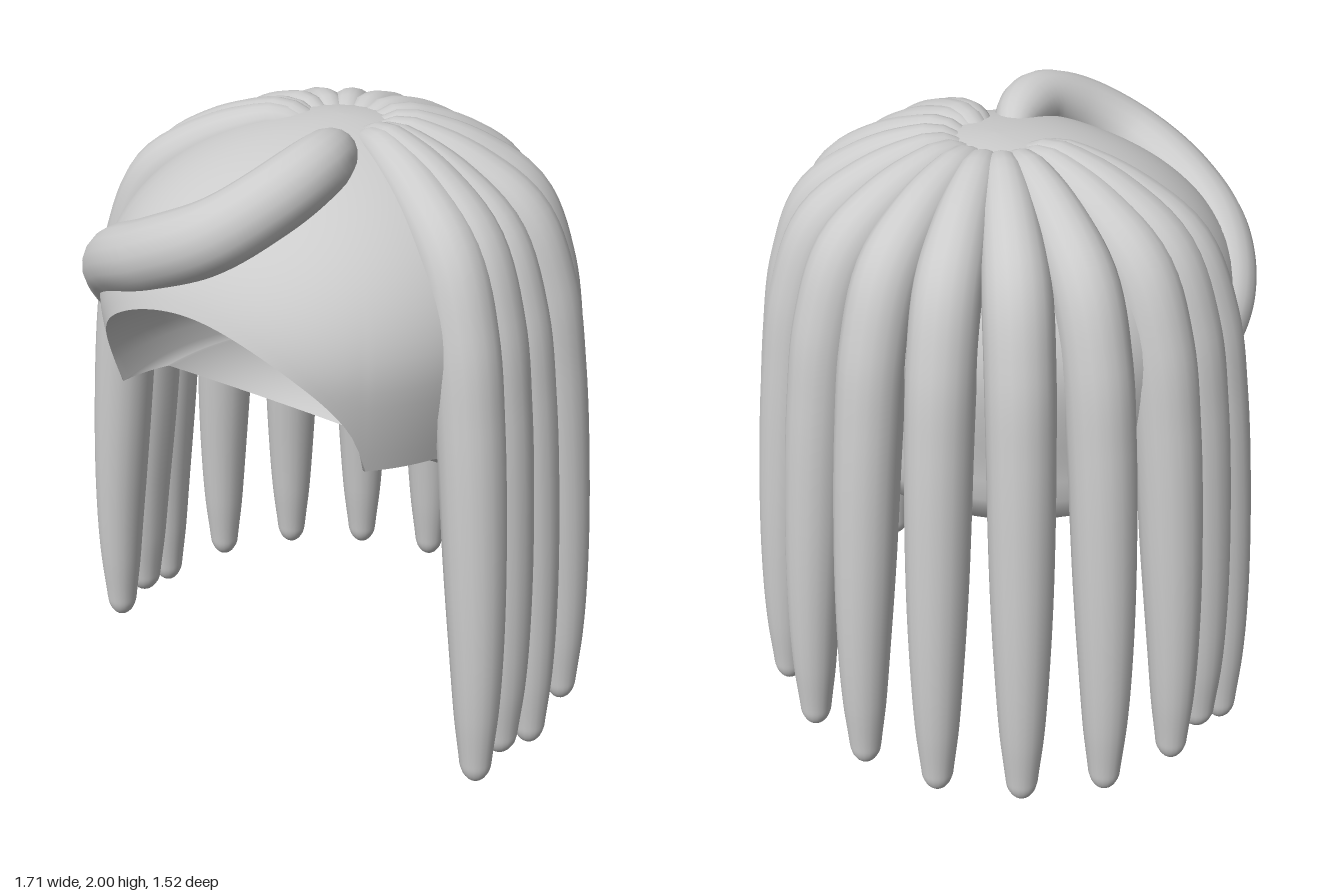
import * as THREE from 'three';

const material = new THREE.MeshStandardMaterial({ color: 0xcccccc, side: THREE.DoubleSide });
const { lerp, clamp, smoothstep } = THREE.MathUtils;
const V = (x, y, z) => new THREE.Vector3(x, y, z);

// Smooth surface from closed loops: point(u, v), with u running around each loop.
function loopSurface(name, nu, nv, point) {
  const pos = [], index = [];
  for (let j = 0; j <= nv; j++) {
    for (let i = 0; i < nu; i++) pos.push(...point(i / nu, j / nv).toArray());
  }
  for (let j = 0; j < nv; j++) {
    for (let i = 0; i < nu; i++) {
      const k = (i + 1) % nu, a = j * nu + i, b = j * nu + k, c = a + nu, d = b + nu;
      index.push(a, c, b, b, c, d);
    }
  }
  const geo = new THREE.BufferGeometry();
  geo.setAttribute('position', new THREE.Float32BufferAttribute(pos, 3));
  geo.setIndex(index);
  geo.computeVertexNormals();
  const mesh = new THREE.Mesh(geo, material);
  mesh.name = name;
  return mesh;
}

// Round strand along a path, its radius interpolated from a short list;
// rings crowd toward the rounded tip.
function strand(name, points, radii, tip) {
  const steps = 400;
  const curve = new THREE.CatmullRomCurve3(points);
  const frames = curve.computeFrenetFrames(steps);
  const radiusCurve = new THREE.SplineCurve(radii.map((r, i) => new THREE.Vector2(i, r)));
  return loopSurface(name, 18, 90, (u, v) => {
    const s = Math.sin(v * Math.PI / 2), k = Math.round(s * steps), a = u * Math.PI * 2;
    const end = clamp((s - 1 + tip) / tip, 0, 1);
    const r = radiusCurve.getPoint(s).y * Math.sqrt(1 - end * end);
    return curve.getPointAt(s)
      .addScaledVector(frames.normals[k], r * Math.cos(a))
      .addScaledVector(frames.binormals[k], -r * Math.sin(a));
  });
}

// Cap plan: a slightly squared oval in front, a shallower plain oval behind.
const WIDTH = 0.7, FRONT = 0.75, BACK = 0.58, POWER = 2 / 2.3;
const TOP = 1.94, ARCH = 0.51, ARCH_H = 0.43, EDGE = 1.1;
const soft = (s) => Math.sign(s) * Math.abs(s) ** POWER;
const plan = (t) => {
  const s = Math.sin(t), c = Math.cos(t);
  return c > 0 ? [WIDTH * soft(s), FRONT * soft(c)] : [(WIDTH + 0.06 * c) * s, BACK * c];
};
const underside = (z) => lerp(0.85, EDGE, clamp((z + 0.05) / 0.4, 0, 1));

// Point on the outer cap at angle t and height y.
function capPoint(t, y) {
  const [x, z] = plan(t);
  let r;
  if (y > 1.4) r = Math.sqrt(Math.max(0, 1 - ((y - 1.4) / (TOP - 1.4)) ** 2));
  else r = 1 - 0.07 * Math.min(1, (1.4 - y) / 0.3) ** 1.5;
  if (y < EDGE) r -= 0.22 * ((EDGE - y) / 0.25) ** 4;
  return V(x * r, y, z * r);
}

// Lower edge of the cap, arched over the face.
function rimHeight(t) {
  const [x, z] = plan(t);
  if (z > 0 && Math.abs(x) < ARCH) return EDGE + ARCH_H * Math.sqrt(1 - (x / ARCH) ** 2);
  return underside(z);
}
const rim = (t) => capPoint(t, rimHeight(t));

// Edge of the face hollow: the arch in front, a half oval across the underside.
const archAngle = Math.asin((ARCH / WIDTH) ** (1 / POWER));
const archEnd = rim(archAngle);
function hollowEdge(t) {
  if (Math.abs(t) <= archAngle) return rim(t);
  const a = (Math.abs(t) - archAngle) / (Math.PI - archAngle) * Math.PI / 2;
  const z = archEnd.z - (archEnd.z - 0.08) * Math.sin(a);
  return V(Math.sign(t) * archEnd.x * Math.cos(a), underside(z), z);
}

function makeCap() {
  const cap = new THREE.Group();
  cap.name = 'cap';
  const angle = (u) => (u - 0.5) * Math.PI * 2;
  const centre = V(0, EDGE, archEnd.z), size = V(archEnd.x, ARCH_H, 0.5);
  const pole = V(0, 0.3, -1).normalize();
  cap.add(
    loopSurface('capOuter', 192, 28, (u, v) =>
      capPoint(angle(u), lerp(TOP, rimHeight(angle(u)), v * v))),
    loopSurface('capUnderside', 192, 6, (u, v) => {
      const p = rim(angle(u)).lerp(hollowEdge(angle(u)), v);
      if (Math.abs(angle(u)) > archAngle) p.y = underside(p.z);
      return v === 0 ? rim(angle(u)) : p;
    }),
    loopSurface('faceHollow', 192, 20, (u, v) => {
      const edge = hollowEdge(angle(u)).sub(centre).divide(size);
      const reach = 1 + (edge.length() - 1) * (1 - v) ** 2;
      return edge.normalize().lerp(pole, v).normalize().multiplyScalar(reach)
        .multiply(size).add(centre);
    }),
  );
  return cap;
}

// Hanging lock: [share of the way out to the tip, height] from crown to tip.
const LOCK_PATH = [
  [0.13, 1.865], [0.24, 1.893], [0.37, 1.862], [0.54, 1.795], [0.72, 1.68], [0.83, 1.47],
  [0.885, 1.22], [0.94, 0.8], [0.98, 0.4], [1, 0],
];
const LOCK_RADII = [0.05, 0.08, 0.1, 0.103, 0.102, 0.1, 0.095, 0.085, 0.07, 0.046];

function makeLock(name, x, z, tipY, scale) {
  const points = LOCK_PATH.map(([s, y]) =>
    V(x * s, y + tipY * (1 - smoothstep(y, 0, 0.8)), z * s));
  return strand(name, points, LOCK_RADII.map((r) => r * scale), 0.03);
}

export function createModel() {
  const model = new THREE.Group();
  model.name = 'hair';
  model.add(makeCap());

  // Locks from the front of each side round to the back: tip x, z, height, thickness
  const tips = [
    [0.765, 0.31, 0, 1], [0.77, 0.185, 0.04, 1.12], [0.79, 0.04, 0, 1], [0.745, -0.225, 0, 1],
    [0.6, -0.45, 0, 1], [0.385, -0.615, 0, 1], [0.13, -0.7, 0, 1],
  ];
  tips.forEach(([x, z, y, s], i) => {
    model.add(makeLock(`leftLock${i + 1}`, x, z, y, s), makeLock(`rightLock${i + 1}`, -x, z, y, s));
  });

  // Fringe sweeping from the crown across the forehead
  model.add(strand('sweptFringe', [
    V(0.06, 1.86, 0.12), V(0.13, 1.9, 0.22), V(0.175, 1.9, 0.36), V(0.14, 1.84, 0.51),
    V(0.03, 1.75, 0.62), V(-0.18, 1.65, 0.645), V(-0.4, 1.55, 0.575),
    V(-0.54, 1.43, 0.46), V(-0.58, 1.25, 0.33),
  ], [0.05, 0.085, 0.1, 0.105, 0.11, 0.11, 0.108, 0.1, 0.09, 0.075], 0.05));
  return model;
}
